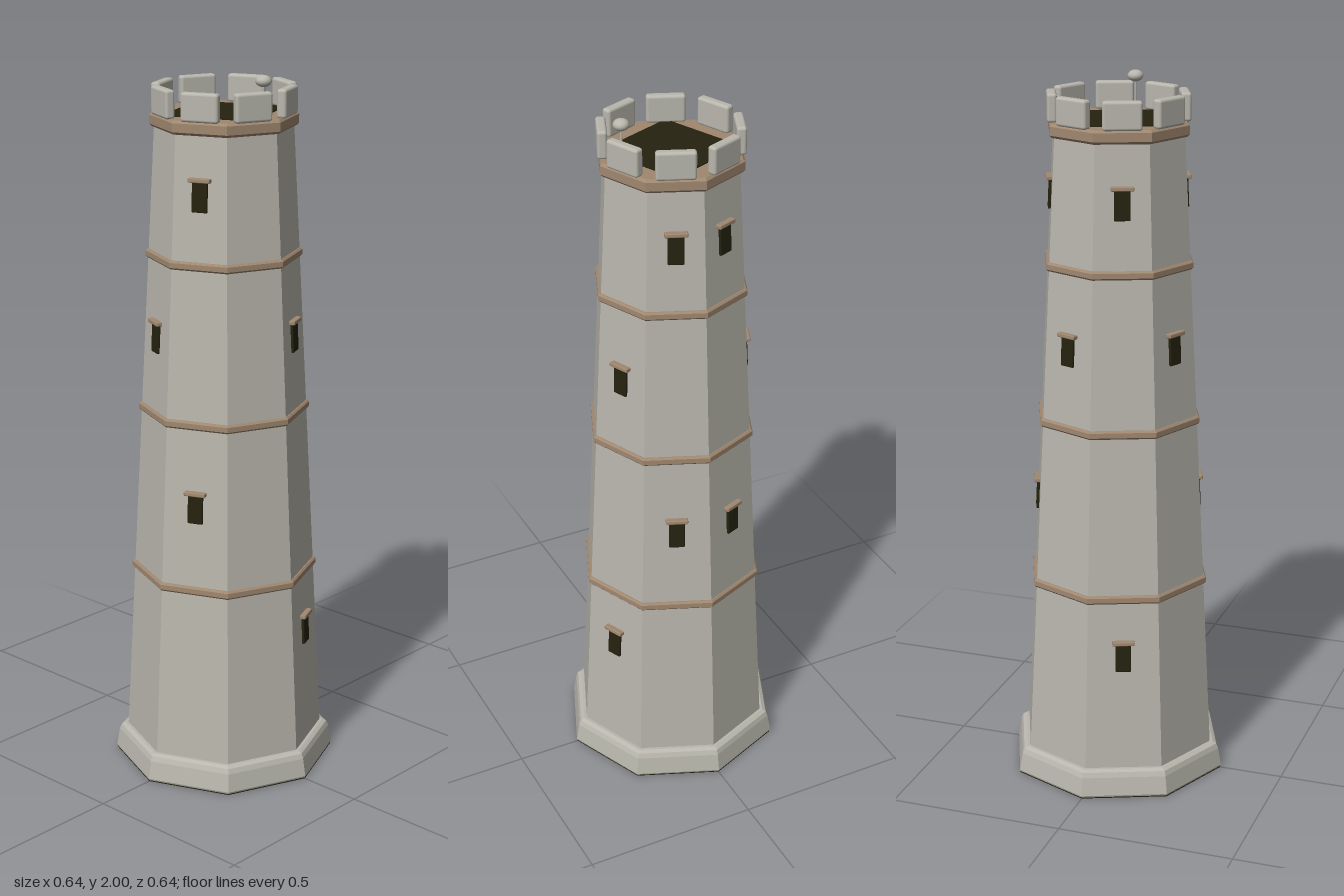
import * as THREE from 'three';
import { RoundedBoxGeometry } from 'three/addons/geometries/RoundedBoxGeometry.js';

const mat = (name, color) => Object.assign(new THREE.MeshStandardMaterial({ color }), { name });

// Radius (to the corners) of the tapering octagonal wall at height y
const wallRadius = (y) => 0.283 - (y - 0.08) * (0.093 / 1.77);
const APOTHEM = Math.cos(Math.PI / 8);
const TILT = Math.atan((0.093 / 1.77) * APOTHEM);

// Faceted eight-sided solid from a [radius, height] profile listed bottom to top
function octagon(profile) {
  const points = profile.map(([r, y]) => new THREE.Vector2(r, y));
  const geometry = new THREE.LatheGeometry(points, 8).toNonIndexed();
  geometry.computeVertexNormals();
  return geometry;
}

// Band with softened edges, closed across top and bottom
function band(radius, y0, y1, bevel) {
  return octagon([
    [0, y0], [radius - bevel, y0], [radius, y0 + bevel],
    [radius, y1 - bevel], [radius - bevel, y1], [0, y1],
  ]);
}

export function createModel() {
  const stone = mat('stone', 0xb9b7ad);
  const trim = mat('tan trim', 0xa08870);
  const dark = mat('dark opening', 0x25220f);

  const model = new THREE.Group();
  model.name = 'tower';
  const add = (parent, name, geometry, material, x = 0, y = 0, z = 0) => {
    const mesh = new THREE.Mesh(geometry, material);
    mesh.name = name;
    mesh.position.set(x, y, z);
    parent.add(mesh);
    return mesh;
  };

  // Plinth with a dark underside
  add(model, 'plinth', octagon([
    [0, 0.003], [0.316, 0.003], [0.318, 0.008], [0.309, 0.06],
    [0.303, 0.074], [0.292, 0.08], [0, 0.08],
  ]), stone);
  add(model, 'underside', octagon([[0, 0], [0.316, 0], [0.316, 0.003]]), dark);

  // Tapered wall
  add(model, 'wall', octagon([[wallRadius(0.07), 0.07], [wallRadius(1.86), 1.86]]), stone);

  // String courses between the storeys, and the parapet floor
  [0.585, 1.06, 1.5].forEach((y, i) => {
    add(model, `stringCourse${i + 1}`, band(wallRadius(y) + 0.008, y - 0.012, y + 0.012, 0.005), trim);
  });
  add(model, 'parapetFloor', band(0.203, 1.85, 1.888, 0.007), trim);

  // Square roof opening, turned to line up with the walls
  const opening = add(model, 'roofOpening', new THREE.BoxGeometry(0.258, 0.006, 0.258), dark, 0, 1.888, 0);
  opening.rotation.y = Math.PI / 8;

  // One merlon on each of the eight sides
  const merlon = new RoundedBoxGeometry(0.106, 0.078, 0.027, 3, 0.008);
  for (let i = 0; i < 8; i++) {
    const side = new THREE.Group();
    side.name = `battlement${i + 1}`;
    side.rotation.y = (i + 0.5) * Math.PI / 4;
    add(side, 'merlon', merlon, stone, 0, 1.925, 0.18);
    model.add(side);
  }

  // Slit windows: height, then the wall faces they sit on (degrees from the front)
  const windows = [
    [0.415, [-67.5, 112.5]],
    [0.825, [22.5, -157.5, 157.5]],
    [1.28, [-22.5, -112.5, 112.5]],
    [1.69, [22.5, -67.5, -157.5, 157.5]],
  ];
  const slit = new RoundedBoxGeometry(0.044, 0.082, 0.009, 2, 0.003);
  const lintel = new RoundedBoxGeometry(0.062, 0.012, 0.026, 2, 0.003);
  for (const [y, angles] of windows) {
    for (const degrees of angles) {
      const angle = THREE.MathUtils.degToRad(degrees);
      const r = wallRadius(y) * APOTHEM;
      const unit = new THREE.Group();
      unit.name = 'window';
      unit.position.set(Math.sin(angle) * r, y, Math.cos(angle) * r);
      unit.rotation.set(-TILT, angle, 0, 'YXZ');
      add(unit, 'slit', slit, dark, 0, -0.002, 0.003);
      add(unit, 'lintel', lintel, trim, 0, 0.043, 0.003);
      model.add(unit);
    }
  }

  // Small finial ball on a slender rod
  const ball = add(model, 'finialBall', new THREE.SphereGeometry(0.022, 16, 12), stone, 0.142, 1.984, 0);
  ball.scale.y = 0.73;
  add(model, 'finialRod', new THREE.CylinderGeometry(0.003, 0.003, 0.09, 8), stone, 0.142, 1.932, 0);

  return model;
}
